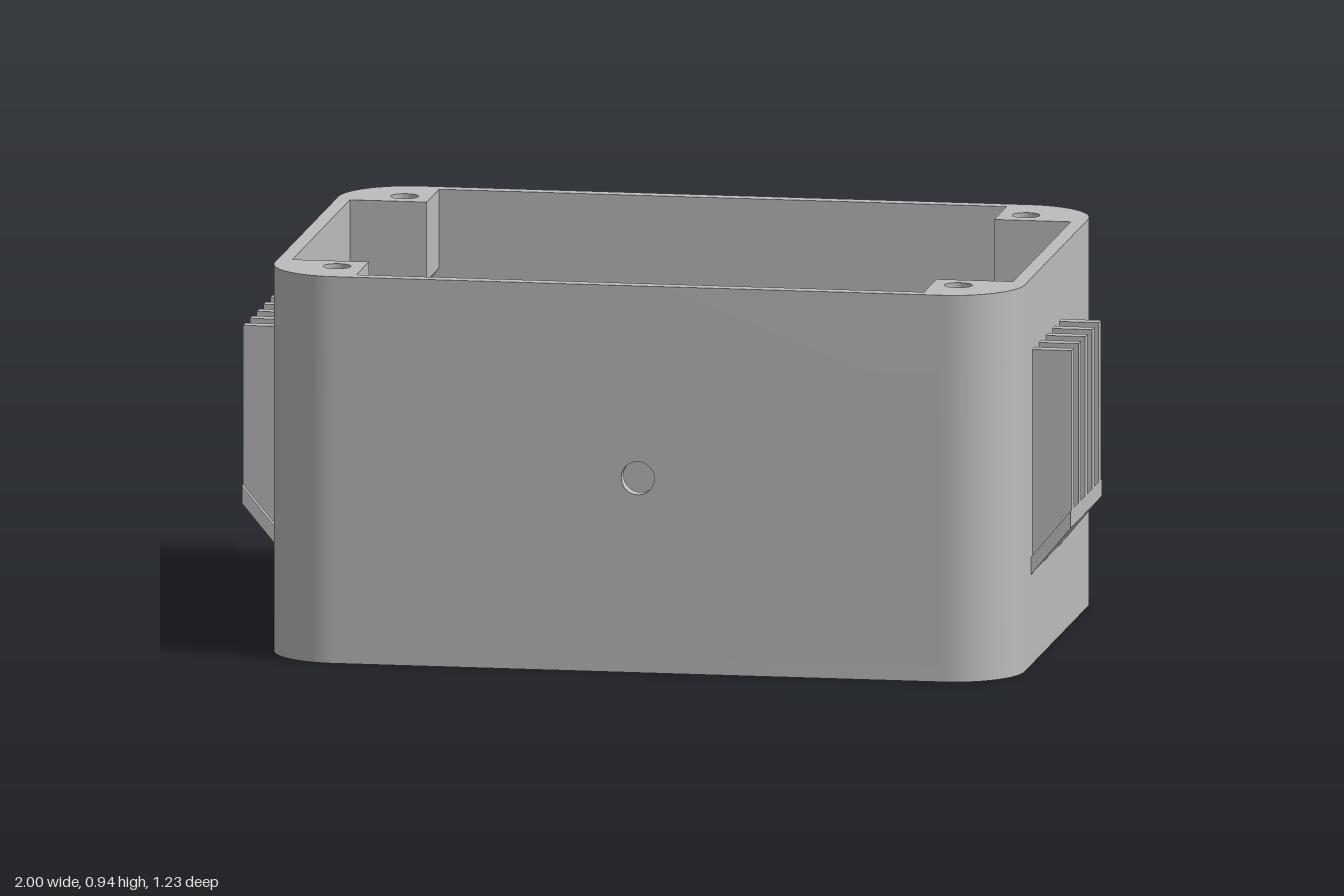
import * as THREE from 'three';
import { toCreasedNormals } from 'three/addons/utils/BufferGeometryUtils.js';
import { ConvexGeometry } from 'three/addons/geometries/ConvexGeometry.js';

const W = 0.905, D = 0.615, H = 0.935, R = 0.17, T = 0.035; // half width, half depth, height, corner radius, wall
const FLOOR = 0.035, POST_Y = 0.745;

const circle = (x, y, r) => new THREE.Path().absarc(x, y, r, 0, Math.PI * 2, false);

function polygon(points) {
  return new THREE.Shape(points.map(([x, y]) => new THREE.Vector2(x, y)));
}

const rect = (x0, y0, x1, y1) => polygon([[x0, y0], [x1, y0], [x1, y1], [x0, y1]]);

function roundedRect(w, d, r) {
  const s = new THREE.Shape();
  s.absarc(w - r, d - r, r, 0, Math.PI / 2, false);
  s.absarc(r - w, d - r, r, Math.PI / 2, Math.PI, false);
  s.absarc(r - w, r - d, r, Math.PI, Math.PI * 1.5, false);
  s.absarc(w - r, r - d, r, Math.PI * 1.5, Math.PI * 2, false);
  s.closePath();
  return s;
}

function extrude(shape, depth, holes = []) {
  shape.holes.push(...holes);
  return new THREE.ExtrudeGeometry(shape, { depth, bevelEnabled: false, curveSegments: 24 });
}

// Plan shape (x, z) filled between two heights
function layer(shape, y0, y1, holes) {
  return extrude(shape, y1 - y0, holes).rotateX(Math.PI / 2).translate(0, y1, 0);
}

export function createModel() {
  const group = new THREE.Group();
  const grey = new THREE.MeshStandardMaterial({ color: 0xbdbdbd });
  grey.name = 'grey plastic';

  function add(name, geometry) {
    const mesh = new THREE.Mesh(toCreasedNormals(geometry, 0.5), grey);
    mesh.name = name;
    group.add(mesh);
  }

  // Floor: underside layer with recesses, then the layer with the two openings
  add('floorUnderside', layer(roundedRect(W, D, R), 0, 0.015, [
    circle(-0.415, 0.1, 0.35), circle(0.415, 0.1, 0.35), rect(-0.67, -0.42, 0.67, -0.27)]));
  add('floor', layer(roundedRect(W, D, R), 0.015, FLOOR, [
    circle(-0.415, 0.1, 0.243), circle(0.415, 0.1, 0.243)]));

  // Front and back walls with their round holes
  const wallHeight = () => rect(R - W, FLOOR, W - R, POST_Y);
  add('frontWall', extrude(wallHeight(), T, [circle(0, 0.47, 0.04)]).translate(0, 0, D - T));
  add('backWall', extrude(wallHeight(), T, [
    circle(0, 0.47, 0.135), circle(0, 0.66, 0.027), circle(0, 0.28, 0.027)]).translate(0, 0, -D));

  // Top tier: rim and corner posts with screw holes
  const px = 0.685, pz = 0.405, ix = W - T, iz = D - T;
  const cavity = polygon([
    [-ix, -pz], [-px, -pz], [-px, -iz], [px, -iz], [px, -pz], [ix, -pz],
    [ix, pz], [px, pz], [px, iz], [-px, iz], [-px, pz], [-ix, pz]]);
  const screws = [];
  for (const sx of [-1, 1]) for (const sz of [-1, 1]) screws.push(circle(sx * 0.75, sz * 0.475, 0.033));
  add('rimAndPosts', layer(roundedRect(W, D, R), POST_Y, H, [cavity, ...screws]));

  for (const sx of [-1, 1]) {
    add('sideWall', new THREE.BoxGeometry(T, POST_Y - FLOOR, 2 * (D - R))
      .translate(sx * (W - T / 2), (POST_Y + FLOOR) / 2, 0));

    for (const sz of [-1, 1]) {
      // Rounded wall corner
      const cx = sx * (W - R), cz = sz * (D - R);
      const start = Math.atan2(sz, sx) - Math.PI / 4;
      const corner = new THREE.Shape();
      corner.absarc(cx, cz, R, start, start + Math.PI / 2, false);
      corner.absarc(cx, cz, R - T, start + Math.PI / 2, start, true);
      corner.closePath();
      add('wallCorner', layer(corner, FLOOR, POST_Y));

      // Taper under the post, running into the corner
      const base = [[px, pz], [0.88, pz], [0.88, 0.46], [0.845, 0.555], [0.75, 0.59], [px, 0.59]];
      const points = base.map(([x, z]) => new THREE.Vector3(sx * x, POST_Y, sz * z));
      points.push(new THREE.Vector3(sx * 0.84, 0.53, sz * 0.55));
      add('postTaper', new ConvexGeometry(points));
    }

    // Low collar around the opening, with a straight arm towards the middle
    const a = Math.asin(0.1325 / 0.27), mid = sx > 0 ? Math.PI : 0;
    const collar = new THREE.Shape();
    collar.absarc(sx * 0.415, 0.1, 0.27, mid + a, mid + Math.PI * 2 - a, false);
    collar.lineTo(sx * 0.11, 0.1 + sx * 0.1325);
    collar.lineTo(sx * 0.11, 0.1 - sx * 0.1325);
    collar.closePath();
    add('openingCollar', layer(collar, FLOOR, 0.05, [circle(sx * 0.415, 0.1, 0.243)]));

    // Hollow standoffs
    for (const [x, z] of [[0.655, -0.16], [0.18, 0.355]]) {
      const ring = new THREE.Shape().absarc(sx * x, z, 0.057, 0, Math.PI * 2, false);
      add('standoff', layer(ring, FLOOR, 0.18, [circle(sx * x, z, 0.033)]));
    }

    // Side grip: slanted ledge and five upright fins
    const wx = sx * (W - 0.005), ox = sx;
    add('gripLedge', extrude(polygon([[wx, 0.213], [ox, 0.333], [ox, 0.375], [wx, 0.255]]), 0.445)
      .translate(0, 0, -0.088));
    for (let i = 0; i < 5; i++) {
      add('gripFin', extrude(polygon([[wx, 0.24], [ox, 0.36], [ox, 0.76], [wx, 0.76]]), 0.033)
        .translate(0, 0, -0.074 + i * 0.095));
    }
  }

  // Raised strip along the middle of the floor
  add('floorStrip', layer(rect(-0.11, -iz, 0.11, 0.07), FLOOR, 0.05));

  return group;
}
